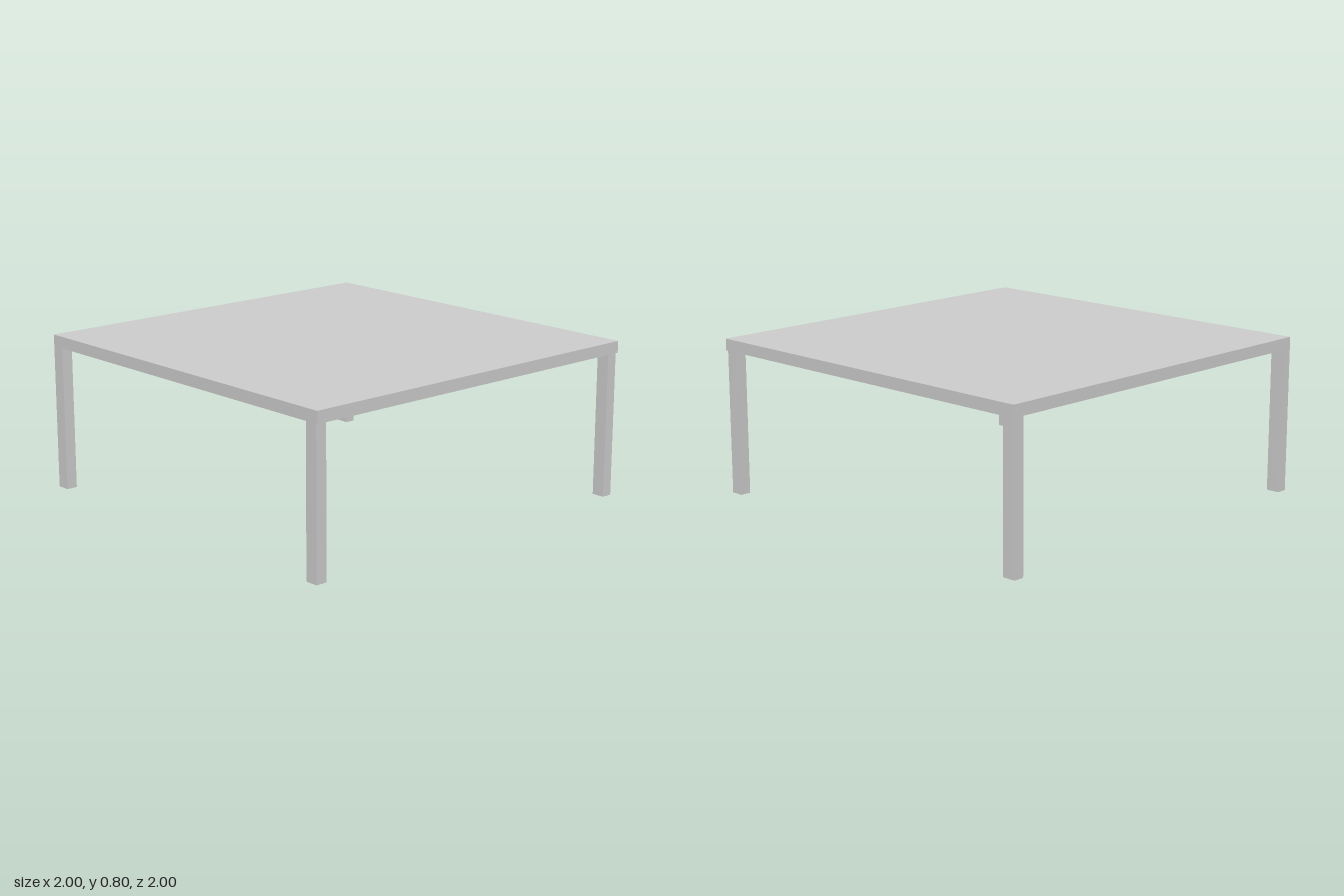
import * as THREE from 'three';

const material = new THREE.MeshStandardMaterial({ color: 0xcccccc, flatShading: true });

// Box given by its lower and upper limits on each axis
function box(name, [x0, x1], [y0, y1], [z0, z1]) {
  const mesh = new THREE.Mesh(new THREE.BoxGeometry(x1 - x0, y1 - y0, z1 - z0), material);
  mesh.position.set((x0 + x1) / 2, (y0 + y1) / 2, (z0 + z1) / 2);
  mesh.name = name;
  return mesh;
}

export function createModel() {
  const table = new THREE.Group();
  table.name = 'table';

  // Square slab top
  table.add(box('tableTop', [-1, 1], [0.74, 0.8], [-1, 1]));

  // Four corner legs, the left and back ones set in slightly from the edge
  const sides = { Right: [-1, -0.93], Left: [0.925, 0.993] };
  const ends = { front: [0.942, 1], back: [-0.993, -0.937] };
  for (const [end, z] of Object.entries(ends)) {
    for (const [side, x] of Object.entries(sides)) {
      table.add(box(`${end}${side}Leg`, x, [0, 0.74], z));
    }
  }
  return table;
}
